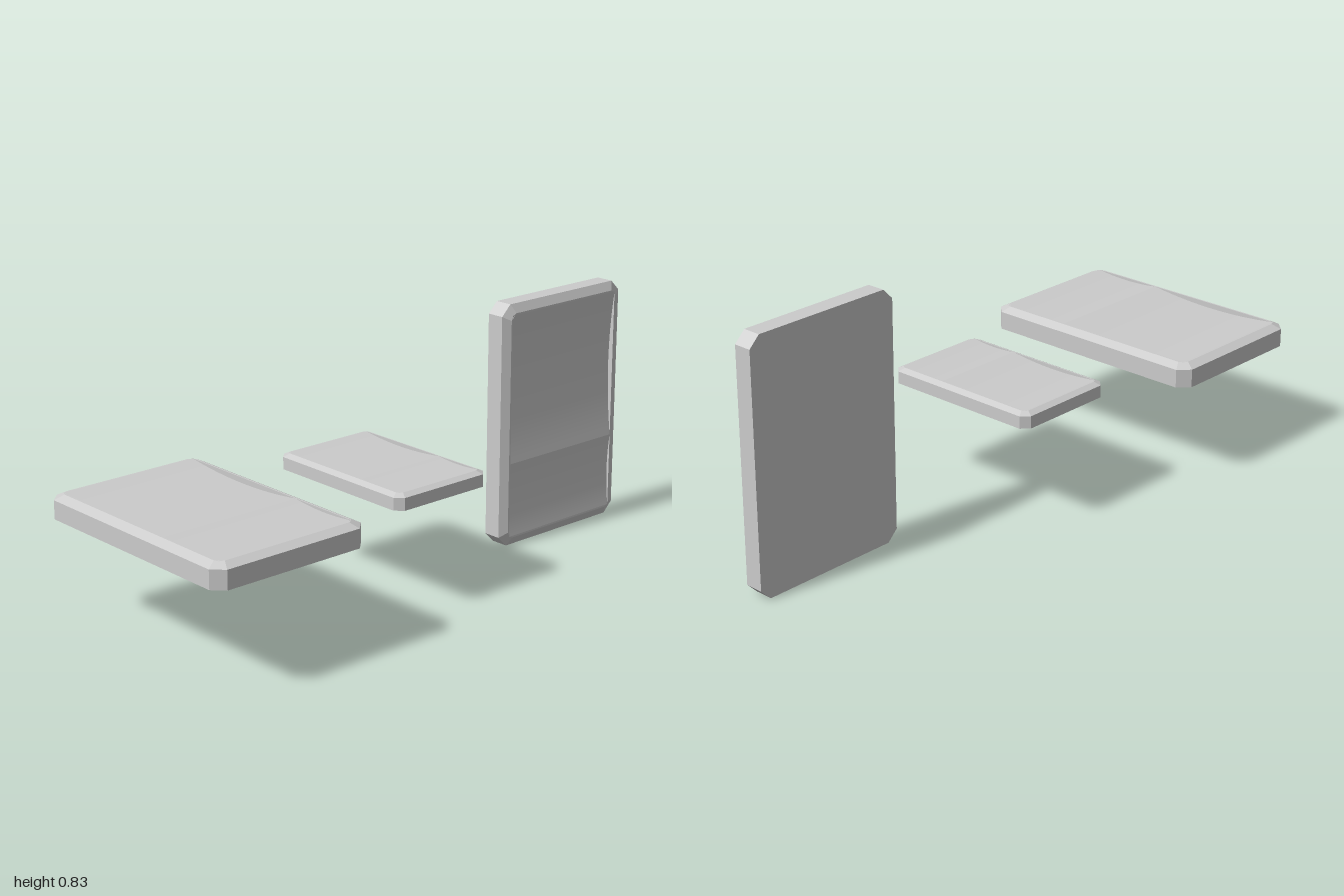
import * as THREE from 'three';

const W = 0.554, L = 0.83, T = 0.076; // plate width, length, thickness
const RIM = 0.035;                    // rim width around the dished face
const RIDGE = 0.125;                  // z of the ridge between the two dishes

const smooth = new THREE.MeshStandardMaterial({ color: 0xcccccc, side: THREE.DoubleSide });
const faceted = new THREE.MeshStandardMaterial({ color: 0xcccccc, flatShading: true });

// Rectangle with cut corners, counter-clockwise seen from above
function ring(inset, cut, y) {
  const x = W / 2 - inset, z = L / 2 - inset;
  return [
    [x, z - cut], [x, -z + cut], [x - cut, -z], [-x + cut, -z],
    [-x, -z + cut], [-x, z - cut], [-x + cut, z], [x - cut, z],
  ].map(([px, pz]) => new THREE.Vector3(px, y, pz));
}

// Body: underside, side wall, bevel, rim and the inner wall of the recess
function bodyGeometry() {
  const rings = [
    Array.from({ length: 8 }, () => new THREE.Vector3()),
    ring(0, 0.036, 0),
    ring(0, 0.036, T - 0.015),
    ring(0.029, 0.022, T),
    ring(RIM, 0.004, T),
    ring(RIM, 0.004, T - 0.024),
  ];
  const points = [];
  for (let i = 0; i < rings.length - 1; i++) {
    for (let j = 0; j < 8; j++) {
      const k = (j + 1) % 8;
      const a = rings[i][j], b = rings[i][k], c = rings[i + 1][k], d = rings[i + 1][j];
      if (i > 0) points.push(a, b, c);
      points.push(a, c, d);
    }
  }
  const geometry = new THREE.BufferGeometry().setFromPoints(points);
  geometry.computeVertexNormals();
  return geometry;
}

// Shallow concave surface between two z positions
function dishGeometry(z0, z1, depth) {
  const geometry = new THREE.PlaneGeometry(W - 2 * RIM, z1 - z0, 1, 20);
  geometry.rotateX(-Math.PI / 2);
  geometry.translate(0, 0, (z0 + z1) / 2);
  const p = geometry.attributes.position;
  for (let i = 0; i < p.count; i++) {
    const t = (p.getZ(i) - z0) / (z1 - z0);
    p.setY(i, T - 4 * depth * t * (1 - t));
  }
  geometry.computeVertexNormals();
  return geometry;
}

const body = bodyGeometry();
const longDish = dishGeometry(-L / 2 + RIM, RIDGE, 0.018);
const shortDish = dishGeometry(RIDGE, L / 2 - RIM, 0.009);

function makePlate(name) {
  const plate = new THREE.Group();
  plate.name = name;
  const parts = [['body', body, faceted], ['longDish', longDish, smooth], ['shortDish', shortDish, smooth]];
  for (const [part, geometry, material] of parts) {
    const mesh = new THREE.Mesh(geometry, material);
    mesh.name = part;
    plate.add(mesh);
  }
  return plate;
}

export function createModel() {
  const model = new THREE.Group();
  model.name = 'dishedPlates';

  // Large plate lying flat
  const flat = makePlate('largeFlatPlate');
  flat.position.set(-0.723, 0.338, 0);

  // Smaller copy lying flat in the middle
  const small = makePlate('smallFlatPlate');
  small.scale.set(0.68, 0.67, 0.688);
  small.position.set(-0.033, 0.352, 0.011);

  // Large plate standing upright, dished face to the front
  const upright = makePlate('uprightPlate');
  upright.rotation.x = Math.PI / 2;
  upright.position.set(0.722, 0.415, -0.004);

  model.add(flat, small, upright);
  return model;
}
